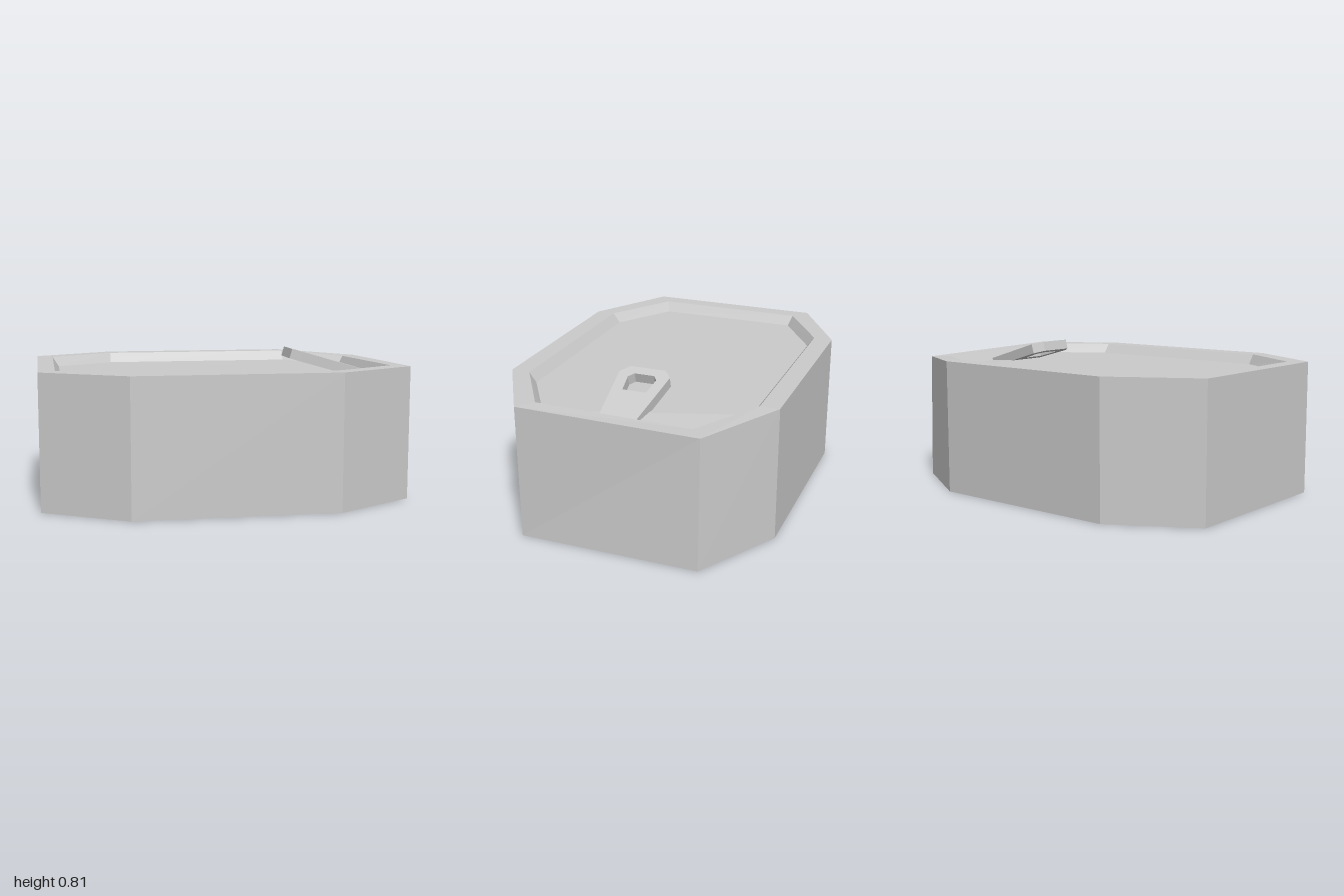
import * as THREE from 'three';

const material = new THREE.MeshStandardMaterial({ color: 0xcccccc, flatShading: true });

// Eight-sided ring: side corners at (sx, sz), end corners at (ex, ez).
// dent pushes in the back corner on the +x side.
function ring(sx, sz, ex, ez, y, dent = 0) {
  const points = [
    [sx, sz], [ex, ez], [-ex, ez], [-sx, sz],
    [-sx, -sz], [-ex, -ez], [ex, -ez], [sx, -sz],
  ].map(([x, z]) => new THREE.Vector3(x, y, z));
  points[7].x -= dent;
  points[7].y -= dent;
  return points;
}

// Skin a list of rings from bottom to top and cap both ends.
function skin(rings) {
  const n = rings[0].length;
  const top = rings[rings.length - 1];
  const corners = [];
  for (let r = 0; r < rings.length - 1; r++) {
    const a = rings[r], b = rings[r + 1];
    for (let i = 0; i < n; i++) {
      const j = (i + 1) % n;
      corners.push(a[j], a[i], b[i], a[j], b[i], b[j]);
    }
  }
  for (let i = 1; i < n - 1; i++) {
    corners.push(rings[0][0], rings[0][i], rings[0][i + 1]);
    corners.push(top[0], top[i + 1], top[i]);
  }
  const geometry = new THREE.BufferGeometry().setFromPoints(corners);
  geometry.computeVertexNormals();
  return geometry;
}

export function createModel() {
  const group = new THREE.Group();
  const height = 0.735, recess = 0.055, dent = 0.02;

  // Can body with a rim and a recessed panel at both ends
  const body = new THREE.Mesh(skin([
    ring(0.875, 0.40, 0.55, 0.61, recess),
    ring(0.91, 0.42, 0.55, 0.65, 0),
    ring(1, 0.49, 0.55, 0.755, 0),
    ring(1, 0.49, 0.55, 0.755, height, dent),
    ring(0.91, 0.42, 0.55, 0.65, height, dent),
    ring(0.875, 0.40, 0.55, 0.61, height - recess, dent),
  ]), material);
  body.name = 'canBody';
  group.add(body);

  // Tilted pull tab with a finger hole
  const toPoints = (list) => list.map(([x, y]) => new THREE.Vector2(x, y));
  const outline = new THREE.Shape(toPoints([
    [0, -0.1], [0.055, -0.143], [0.455, -0.097], [0.455, 0.097], [0.055, 0.143], [0, 0.1],
  ]));
  outline.holes.push(new THREE.Path(toPoints([
    [0.057, -0.055], [0.057, 0.055], [0.09, 0.08], [0.2, 0.065], [0.2, -0.065], [0.09, -0.08],
  ])));
  const tabGeometry = new THREE.ExtrudeGeometry(outline, { depth: 0.055, bevelEnabled: false });
  tabGeometry.rotateX(Math.PI / 2);
  tabGeometry.rotateZ(-0.28);
  tabGeometry.translate(0.435, 0.805, 0);
  const tab = new THREE.Mesh(tabGeometry, material);
  tab.name = 'pullTab';
  group.add(tab);

  return group;
}
